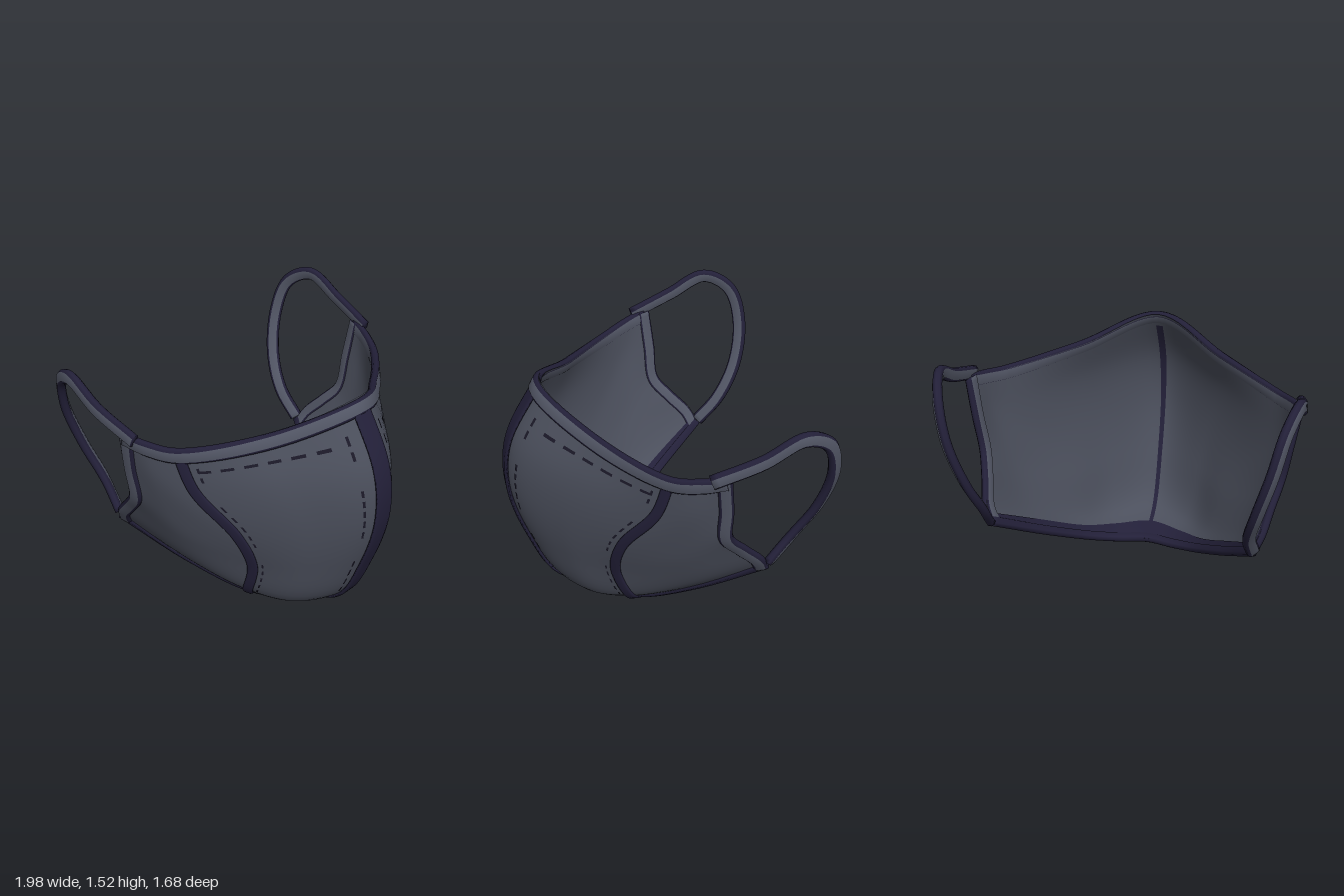
import * as THREE from 'three';
import { mergeGeometries } from 'three/addons/utils/BufferGeometryUtils.js';

const mat = (name, color) => {
  const m = new THREE.MeshStandardMaterial({ color });
  m.name = name;
  return m;
};

export function createModel() {
  const group = new THREE.Group();
  const fabric = mat('slate fabric', 0x4b4f5c);
  const trim = mat('trim grey', 0x525665);
  const dark = mat('dark navy edging', 0x232039);
  const stitch = mat('stitch black', 0x1b1928);

  const add = (name, geometry, material) => {
    const mesh = new THREE.Mesh(geometry, material);
    mesh.name = name;
    group.add(mesh);
  };

  // Left half of the shell: columns from nose line to ear edge, each from chin to top
  const half = [
    [[0, .03, .26], [0, .13, .55], [0, .45, .72], [0, .8, .815], [0, 1.1, .79], [0, 1.46, .6]],
    [[.17, .04, .22], [.25, .13, .42], [.29, .45, .54], [.34, .78, .57], [.42, 1.06, .48], [.42, 1.32, .37]],
    [[.33, .1, .12], [.43, .2, .2], [.48, .45, .29], [.58, .7, .27], [.74, 1, .12], [.8, 1.26, .06]],
    [[.55, .29, -.16], [.64, .4, -.1], [.72, .6, -.04], [.79, .8, -.04], [.86, 1.05, -.06], [.89, 1.28, -.08]],
    [[.76, .55, -.51], [.8, .64, -.47], [.83, .75, -.36], [.865, .87, -.25], [.9, 1.08, -.23], [.935, 1.31, -.2]],
  ];
  const curve = (pts) => new THREE.CatmullRomCurve3(pts.map((p) => new THREE.Vector3(...p)));
  const mirrorX = (col) => col.map(([x, y, z]) => [-x, y, z]);
  const columns = [...half.slice(1).reverse().map(mirrorX), ...half].map(curve);

  // Point on the shell: u from -1 (right ear) to 1 (left ear), v from 0 (chin) to 1 (top)
  const surf = (u, v) =>
    new THREE.CatmullRomCurve3(columns.map((c) => c.getPoint(v))).getPoint((u + 1) / 2);
  const clamp = THREE.MathUtils.clamp;
  const normalAt = (u, v) => {
    const e = 0.01;
    const du = surf(clamp(u + e, -1, 1), v).sub(surf(clamp(u - e, -1, 1), v));
    const dv = surf(u, clamp(v + e, 0, 1)).sub(surf(u, clamp(v - e, 0, 1)));
    return du.cross(dv).normalize();
  };

  // Piece of the shell, pushed along its normal
  const patch = (u0, u1, v0, v1, off, nu, nv, inside = false) => {
    const pos = [], idx = [];
    for (let j = 0; j <= nv; j++) for (let i = 0; i <= nu; i++) {
      const u = u0 + (u1 - u0) * i / nu, v = v0 + (v1 - v0) * j / nv;
      pos.push(...surf(u, v).addScaledVector(normalAt(u, v), off).toArray());
    }
    for (let j = 0; j < nv; j++) for (let i = 0; i < nu; i++) {
      const a = j * (nu + 1) + i, b = a + 1, c = a + nu + 1, d = c + 1;
      idx.push(...(inside ? [a, c, b, b, c, d] : [a, b, c, b, d, c]));
    }
    const g = new THREE.BufferGeometry();
    g.setAttribute('position', new THREE.Float32BufferAttribute(pos, 3));
    g.setIndex(idx);
    g.computeVertexNormals();
    return g;
  };

  // Flat band with bevelled edges; material 1 is used on its two broad faces
  const band = (points, normals, w, t) => {
    const section = [[-w, -.4 * t], [-w, .4 * t], [-.65 * w, t], [.65 * w, t],
      [w, .4 * t], [w, -.4 * t], [.65 * w, -t], [-.65 * w, -t]];
    const n = points.length, k = section.length, pos = [], idx = [];
    const g = new THREE.BufferGeometry();
    points.forEach((p, i) => {
      const T = points[Math.min(i + 1, n - 1)].clone().sub(points[Math.max(i - 1, 0)]).normalize();
      const N = normals[i].clone().addScaledVector(T, -normals[i].dot(T)).normalize();
      const B = N.clone().cross(T);
      for (const [a, b] of section)
        pos.push(...p.clone().addScaledVector(B, a).addScaledVector(N, b).toArray());
    });
    for (let s = 0; s < k; s++) {
      const s2 = (s + 1) % k;
      g.addGroup(idx.length, (n - 1) * 6, s === 2 || s === 6 ? 1 : 0);
      for (let i = 0; i < n - 1; i++) {
        const a = i * k + s, b = i * k + s2;
        idx.push(a, a + k, b, b, a + k, b + k);
      }
    }
    g.addGroup(idx.length, (k - 2) * 6, 0);
    const e = (n - 1) * k;
    for (let s = 1; s < k - 1; s++) idx.push(0, s, s + 1, e, e + s + 1, e + s);
    g.setAttribute('position', new THREE.Float32BufferAttribute(pos, 3));
    g.setIndex(idx);
    g.computeVertexNormals();
    return g;
  };
  // Band that follows a line (u, v) on the shell
  const shellBand = (name, path, w, t, off, face, n = 48) => {
    const pts = [], nor = [];
    for (let i = 0; i <= n; i++) {
      const [u, v] = path(i / n), N = normalAt(u, v);
      pts.push(surf(u, v).addScaledVector(N, off));
      nor.push(N);
    }
    add(name, band(pts, nor, w, t), [dark, face]);
  };

  // Fabric panels and lining
  add('frontPanel', patch(-.5, .5, 0, 1, 0, 40, 32), fabric);
  add('rightSidePanel', patch(-1, -.5, 0, 1, 0, 20, 32), fabric);
  add('leftSidePanel', patch(.5, 1, 0, 1, 0, 20, 32), fabric);
  add('lining', patch(-1, 1, 0, 1, -.02, 72, 32, true), fabric);
  add('chinLining', patch(-.98, .98, 0, .1, -.025, 64, 3, true), dark);
  add('innerNoseSeam', patch(-.014, .014, .1, .95, -.025, 2, 24, true), dark);

  // Bindings along the edges
  shellBand('topBinding', (s) => [-1 + 2 * s, .975], .044, .024, .002, trim, 80);
  shellBand('chinBinding', (s) => [-1 + 2 * s, .015], .028, .024, -.008, dark, 80);
  shellBand('noseSeam', (s) => [0, .01 + .98 * s], .062, .012, .004, dark);

  // Ear loop path and its facing direction
  const loop = [[.935, 1.3, -.12], [.962, 1.4, -.38], [.955, 1.5, -.59], [.91, 1.42, -.745],
    [.86, 1.21, -.805], [.79, .95, -.765], [.745, .74, -.655], [.755, .57, -.52]];

  for (const [side, sx] of [['left', 1], ['right', -1]]) {
    shellBand(side + 'PanelSeam', (s) => [sx * .5, .01 + .95 * s], .03, .012, .004, dark);
    shellBand(side + 'EarBinding', (s) => [sx * .98, s], .04, .024, -.004, trim);
    const path = curve(sx > 0 ? loop : mirrorX(loop));
    const pts = [], nor = [];
    for (let i = 0; i <= 56; i++) {
      const s = i / 56;
      pts.push(path.getPoint(s));
      nor.push(new THREE.Vector3(sx * (1 - .4 * s), .15, -.9 * s).normalize());
    }
    add(side + 'EarLoop', band(pts, nor, .039, .025), [dark, trim]);
  }

  // Stitching beside the seams and under the top binding
  const dashes = [];
  for (const sx of [-1, 1]) {
    for (let v = .08; v < .9; v += .045) {
      if (Math.round(v * 100) % 4 === 0) continue;
      dashes.push(patch(sx * .075 - .004, sx * .075 + .004, v, v + .028, .004, 1, 2));
      dashes.push(patch(sx * .455 - .004, sx * .455 + .004, v, v + .024, .004, 1, 2));
    }
    for (let u = .12; u < .46; u += .06) {
      const a = sx > 0 ? u : -u - .035;
      dashes.push(patch(a, a + .035, .888, .9, .004, 2, 1));
    }
  }
  add('stitching', mergeGeometries(dashes), stitch);

  return group;
}
